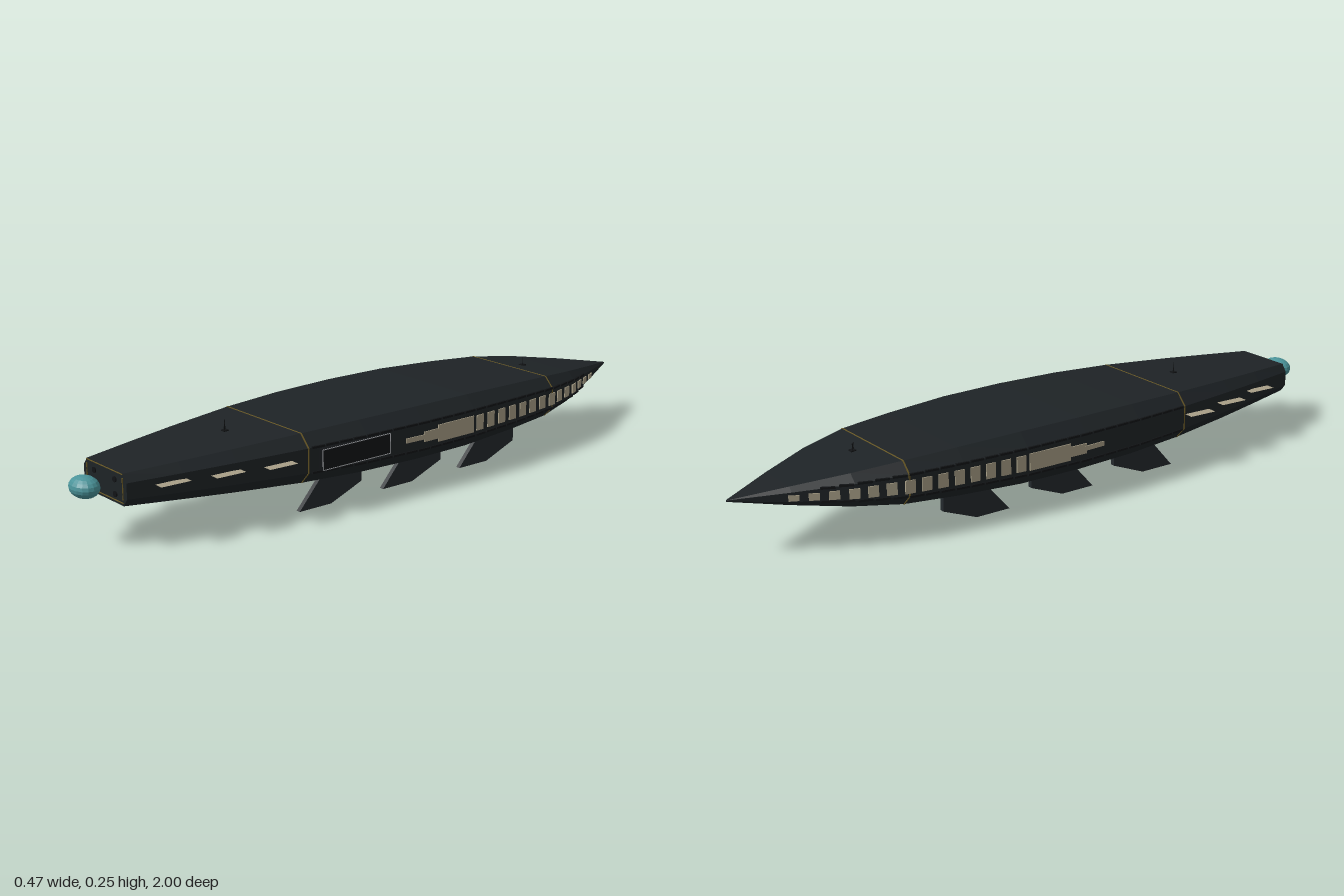
import * as THREE from 'three';

const mat = (color, extra = {}) => new THREE.MeshStandardMaterial({ color, flatShading: true, ...extra });
const hullMat = mat(0x1e2326), darkMat = mat(0x121416), finMat = mat(0x24292d);
const goldMat = mat(0x6b5a26), creamMat = mat(0xa89f87), tealMat = mat(0x4a9399), paleMat = mat(0x9a9ca0);
const sheetMat = mat(0xa89f87, { side: THREE.DoubleSide });

// Hull stations: z, half width, half height
const STATIONS = [
  [0.9, 0.104, 0.044], [0.75, 0.137, 0.052], [0.6, 0.167, 0.06], [0.39, 0.203, 0.07], [0.2, 0.222, 0.076],
  [0, 0.231, 0.078], [-0.2, 0.228, 0.077], [-0.4, 0.211, 0.07], [-0.56, 0.19, 0.062],
  [-0.7, 0.147, 0.047], [-0.85, 0.078, 0.026], [-1, 0.002, 0.002],
];
const CY = 0.16;

// Half width and half height of the hull at any z
function hullAt(z) {
  let i = 0;
  while (i < STATIONS.length - 2 && z < STATIONS[i + 1][0]) i++;
  const a = STATIONS[i], b = STATIONS[i + 1], t = (z - a[0]) / (b[0] - a[0]);
  return { w: a[1] + (b[1] - a[1]) * t, h: a[2] + (b[2] - a[2]) * t, slope: (b[1] - a[1]) / (b[0] - a[0]) };
}

// Eight-sided section, counterclockwise seen from the front
const section = ([z, w, h]) => [
  [1, -0.5], [1, 0.5], [0.84, 1], [-0.84, 1], [-1, 0.5], [-1, -0.5], [-0.84, -1], [0.84, -1],
].map(([x, y]) => [x * w, CY + y * h, z]);

// Skin a list of stations running from front to back, with end caps
function loft(stations) {
  const pos = stations.flatMap(s => section(s).flat()), idx = [], n = stations.length;
  for (let i = 0; i < n - 1; i++) for (let k = 0; k < 8; k++) {
    const a = i * 8 + k, b = i * 8 + (k + 1) % 8;
    idx.push(a, a + 8, b, b, a + 8, b + 8);
  }
  for (let k = 1; k < 7; k++) {
    const e = (n - 1) * 8;
    idx.push(0, k, k + 1, e, e + k + 1, e + k);
  }
  const g = new THREE.BufferGeometry();
  g.setAttribute('position', new THREE.Float32BufferAttribute(pos, 3));
  g.setIndex(idx);
  const flat = g.toNonIndexed();
  flat.computeVertexNormals();
  return flat;
}

export function createModel() {
  const model = new THREE.Group();
  const add = (name, geo, material, x = 0, y = 0, z = 0, parent = model) => {
    const m = new THREE.Mesh(geo, material);
    m.name = name;
    m.position.set(x, y, z);
    parent.add(m);
    return m;
  };
  const box = (name, size, material, at, parent) => add(name, new THREE.BoxGeometry(...size), material, ...at, parent);
  // Thin block lying against the hull side
  const onSide = (name, side, z, length, height, y, material, depth = 0.006) => {
    const { w, slope } = hullAt(z);
    const m = box(name, [depth, height, length], material, [side * w, y, z]);
    m.rotation.y = side * Math.atan(slope);
    return m;
  };

  add('hull', loft(STATIONS), hullMat);

  // Gold trim rings around the hull
  for (const z of [0.39, -0.56]) {
    const { w, h } = hullAt(z);
    add('trimRing', loft([[z + 0.002, w + 0.001, h + 0.0008], [z - 0.002, w + 0.001, h + 0.0008]]), goldMat);
  }

  // Bow: gold frame, ports and the glowing orb
  for (const s of [-1, 1]) {
    box('bowFrameRail', [0.176, 0.002, 0.003], goldMat, [0, CY + 0.003 + s * 0.039, 0.901]);
    box('bowFramePost', [0.002, 0.06, 0.003], goldMat, [s * 0.087, CY + 0.002, 0.901]);
    for (const t of [-1, 1]) {
      const port = add('bowPort', new THREE.CylinderGeometry(0.008, 0.008, 0.006, 10), darkMat, s * 0.05, CY + t * 0.02, 0.901);
      port.rotation.x = Math.PI / 2;
    }
  }
  add('bowOrb', new THREE.SphereGeometry(1, 16, 10), tealMat, 0, CY, 0.962).scale.set(0.05, 0.03, 0.038);

  for (const s of [-1, 1]) {
    // Row of windows shrinking toward the stern
    for (let i = 0; i < 14; i++) {
      const z = -0.222 - i * 0.048;
      onSide('window', s, z, 0.029, hullAt(z).h * 0.6, 0.157, creamMat);
    }
    onSide('largeWindow', s, -0.125, 0.14, 0.05, 0.157, creamMat);
    onSide('midWindow', s, -0.03, 0.06, 0.03, 0.157, creamMat);
    onSide('slotWindow', s, 0.03, 0.07, 0.014, 0.157, creamMat);

    // Dark belts above and below the windows
    for (let i = 0; i < 26; i++) {
      const z = 0.36 - i * 0.045, { h } = hullAt(z);
      onSide('upperBelt', s, z, 0.04, 0.006, CY + h * 0.5, darkMat, 0.007);
      onSide('lowerBelt', s, z, 0.04, 0.006, CY - h * 0.5, darkMat, 0.007);
    }

    // Flat horizontal vanes beside the bow
    const vanes = s > 0 ? [[0.21, 0.488], [0.178, 0.635], [0.146, 0.785]] : [[0.22, 0.437], [0.195, 0.585], [0.158, 0.735]];
    for (const [x, z] of vanes) {
      const vane = add('sideVane', new THREE.PlaneGeometry(0.03, 0.09).rotateX(-Math.PI / 2), sheetMat, s * x, 0.17, z);
      vane.rotation.y = -0.05;
    }

    // Three swept fins below the hull
    for (const z of [0.385, 0.085, -0.212]) {
      const shape = new THREE.Shape([[0, 0], [-0.11, 0], [-0.22, 0.043], [-0.22, 0.09], [-0.08, 0.09]]
        .map(([u, v]) => new THREE.Vector2(u, v)));
      const geo = new THREE.ExtrudeGeometry(shape, { depth: 0.014, bevelEnabled: false });
      geo.translate(0, 0, -0.007).rotateY(-Math.PI / 2);
      add('fin', geo, finMat, s * 0.147, 0, z);
    }
  }

  // Outlined hatch panel on the left side
  const hatch = new THREE.Group();
  hatch.name = 'sideHatch';
  hatch.position.set(0.218, 0.161, 0.24);
  model.add(hatch);
  box('hatchPanel', [0.016, 0.06, 0.24], darkMat, [0, 0, 0], hatch);
  for (const s of [-1, 1]) {
    box('hatchRail', [0.002, 0.002, 0.24], paleMat, [0.0085, s * 0.029, 0], hatch);
    box('hatchPost', [0.002, 0.06, 0.002], paleMat, [0.0085, 0, s * 0.119], hatch);
  }

  // Thin keel plates along the centre line
  for (const [z0, z1] of [[0.3, 0.17], [0.128, -0.17], [-0.2, -0.5]]) {
    box('keelPlate', [0.004, 0.055, z0 - z1], finMat, [0, 0.066, (z0 + z1) / 2]);
  }

  // Deck antennas
  for (const z of [0.52, -0.62]) {
    const top = CY + hullAt(z).h, tip = z > 0 ? 0.254 : 0.238;
    for (const x of [-0.004, 0.001, 0.006]) {
      const mast = add('antenna', new THREE.CylinderGeometry(0.0008, 0.0012, tip - top + 0.01, 6), darkMat, x, (tip + top - 0.01) / 2, z + x);
      mast.rotation.z = -x * 8;
    }
    box('antennaBase', [0.016, 0.006, 0.016], darkMat, [0.001, top, z]);
  }
  return model;
}
